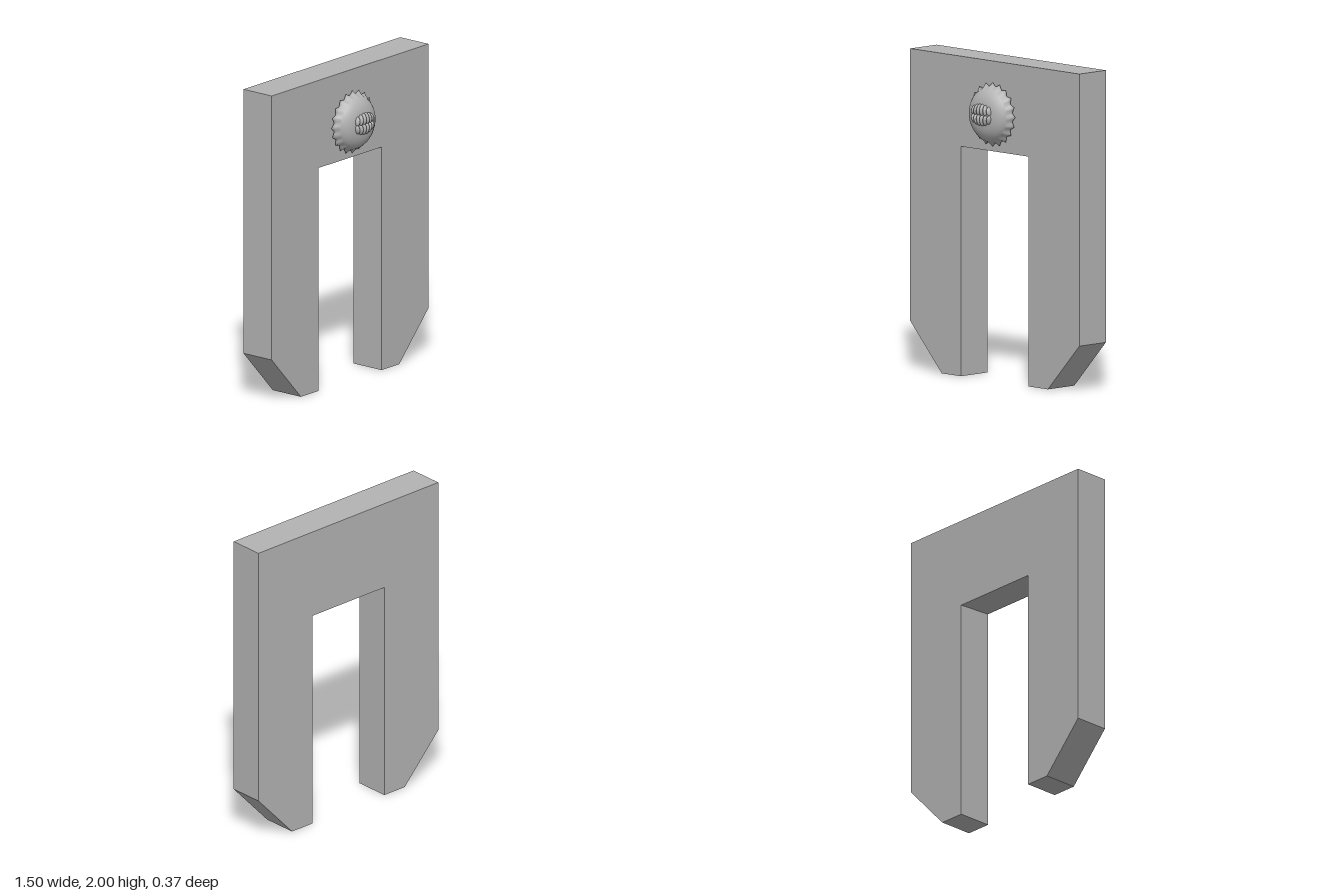
import * as THREE from 'three';

export function createModel() {
  const model = new THREE.Group();
  const stone = new THREE.MeshStandardMaterial({ color: 0xb3b3b3 });
  stone.name = 'grey stone';

  const add = (geometry, name, parent = model) => {
    const mesh = new THREE.Mesh(geometry, stone);
    mesh.name = name;
    parent.add(mesh);
    return mesh;
  };

  // Arch slab: two legs with chamfered outer feet, joined by a lintel
  const half = [[0.3, 1.43], [0.3, 0], [0.47, 0], [0.75, 0.3], [0.75, 2]];
  const outline = [...half, ...half.map(([x, y]) => [-x, y]).reverse()];
  const slab = new THREE.ExtrudeGeometry(
    new THREE.Shape(outline.map(([x, y]) => new THREE.Vector2(x, y))),
    { depth: 0.228, bevelEnabled: false });
  slab.translate(0, 0, -0.188);
  // The underside of the lintel dips slightly towards the back
  const sp = slab.attributes.position;
  for (let i = 0; i < sp.count; i++) {
    if (Math.abs(sp.getY(i) - 1.43) < 0.001) sp.setY(i, sp.getZ(i) > 0 ? 1.436 : 1.425);
  }
  slab.computeVertexNormals();
  add(slab, 'archSlab');

  const emblem = new THREE.Group();
  emblem.name = 'emblem';
  emblem.position.set(0, 1.67, 0.04);
  model.add(emblem);

  // Dome, a lathe turned to face +z
  const profile = [
    [0.172, 0.022], [0.17, 0.045], [0.16, 0.066], [0.145, 0.083],
    [0.122, 0.098], [0.095, 0.109], [0.06, 0.115], [0.03, 0.117], [0, 0.118],
  ].map(([r, h]) => new THREE.Vector2(r, h));
  add(new THREE.LatheGeometry(profile, 40).rotateX(Math.PI / 2), 'dome', emblem);

  // Scalloped skirt: rings whose radius swells into pointed tips
  const spikes = 20, steps = spikes * 4;
  const rings = [
    { r: 0.163, swell: 0, z: 0.062 },
    { r: 0.174, swell: 0.01, z: 0.035 },
    { r: 0.177, swell: 0.024, z: 0.018 },
    { r: 0.165, swell: 0.012, z: 0.008 },
    { r: 0.13, swell: 0, z: 0 },
  ];
  const points = [], index = [];
  rings.forEach(({ r, swell, z }, j) => {
    for (let i = 0; i < steps; i++) {
      const a = (i / steps) * Math.PI * 2 + Math.PI / 2;
      const tip = [1, 0.4, 0, 0.4][i % 4];
      const radius = r + swell * tip;
      points.push(Math.cos(a) * radius, Math.sin(a) * radius, z);
      if (j === 0) continue;
      const n = (i + 1) % steps, p = (j - 1) * steps, q = j * steps;
      index.push(p + i, q + i, q + n, p + i, q + n, p + n);
    }
  });
  const skirt = new THREE.BufferGeometry();
  skirt.setAttribute('position', new THREE.Float32BufferAttribute(points, 3));
  skirt.setIndex(index);
  skirt.computeVertexNormals();
  add(skirt, 'spikedSkirt', emblem);

  // Two rows of rounded teeth, shorter and leaning at the sides
  for (const row of [1, -1]) {
    for (let i = 0; i < 6; i++) {
      const t = (i - 2.5) / 2.5;
      const tooth = add(new THREE.SphereGeometry(1, 12, 10), row > 0 ? 'upperTooth' : 'lowerTooth', emblem);
      const length = 0.036 - 0.007 * t * t;
      tooth.scale.set(0.0135, length, 0.02);
      tooth.position.set(t * 0.066, 0.007 + row * (length - 0.002), 0.123 - 0.008 * t * t);
      tooth.rotation.set(-row * 0.2, 0, row * t * 0.22);
    }
  }
  return model;
}
